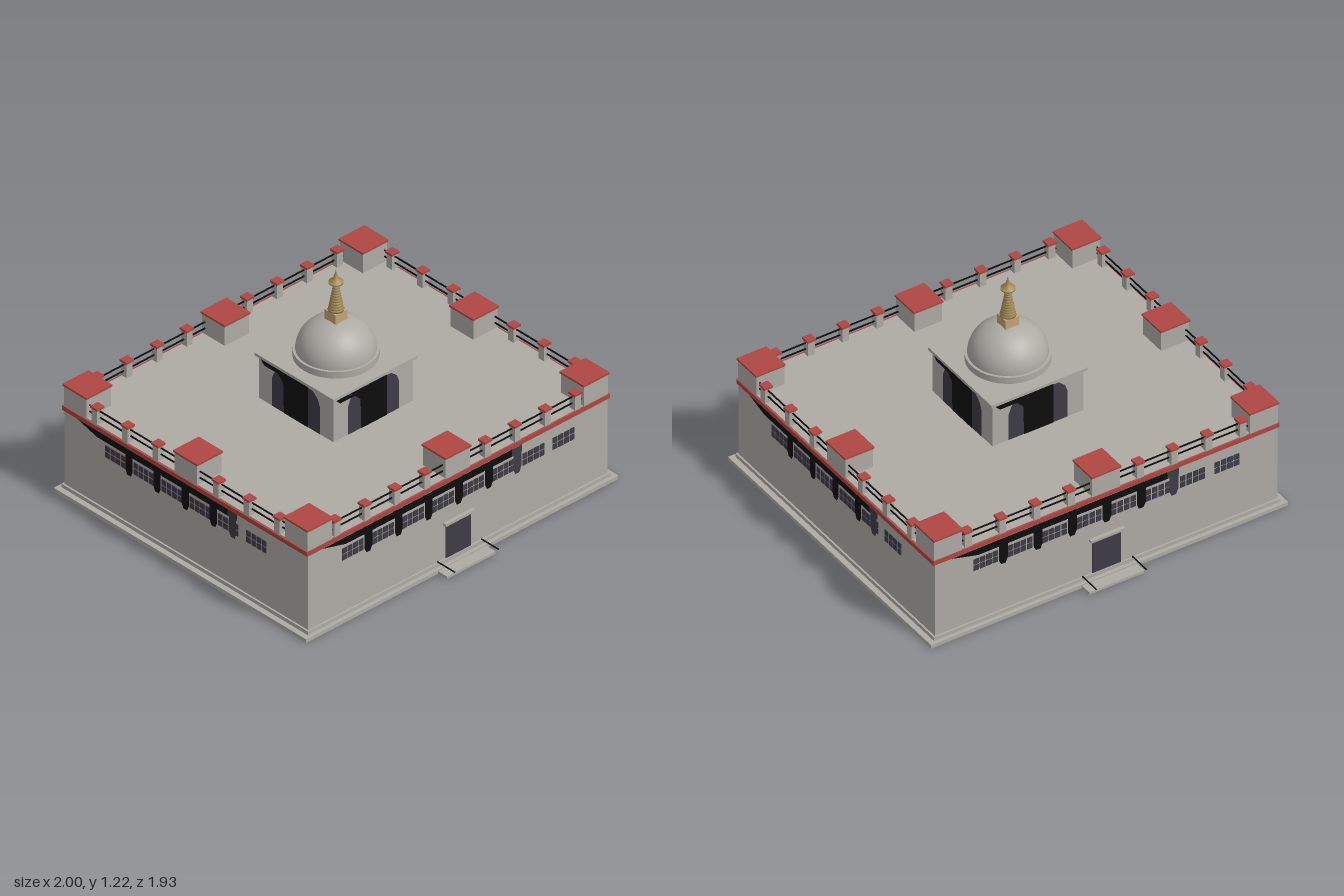
import * as THREE from 'three';

const mat = (name, color, extra = {}) => {
  const m = new THREE.MeshStandardMaterial({ color, ...extra });
  m.name = name;
  return m;
};

export function createModel() {
  const root = new THREE.Group();
  root.name = 'domedHall';
  const stone = mat('grey stone', 0xaeaba5);
  const red = mat('red trim', 0xae4642);
  const dark = mat('dark opening', 0x3d3b45);
  const black = mat('black recess', 0x0d0d0e);
  const tan = mat('tan stone', 0xc0a678);
  const gold = mat('gold', 0xa58d58);

  const add = (parent, name, geo, material) => {
    const mesh = new THREE.Mesh(geo, material);
    mesh.name = name;
    parent.add(mesh);
    return mesh;
  };
  // box given by its centre in x and z, bottom and top height, width and depth
  const box = (parent, name, m, x, z, y0, y1, w, d) => {
    const b = add(parent, name, new THREE.BoxGeometry(w, y1 - y0, d), m);
    b.position.set(x, (y0 + y1) / 2, z);
    return b;
  };
  // flat painted polygon facing local +z
  const plate = (parent, name, m, pts, z) => {
    const s = new THREE.Shape(pts.map(p => new THREE.Vector2(p[0], p[1])));
    const p = add(parent, name, new THREE.ShapeGeometry(s), m);
    p.position.z = z;
    return p;
  };
  const side = (name, turn) => {
    const g = new THREE.Group();
    g.name = name;
    g.rotation.y = turn * Math.PI / 2;
    root.add(g);
    return g;
  };

  // main block
  box(root, 'plinth', stone, 0, 0, 0, 0.02, 2, 1.73);
  box(root, 'plinthStep', stone, 0, 0, 0.02, 0.04, 1.94, 1.69);
  box(root, 'walls', stone, 0, 0, 0.04, 0.46, 1.92, 1.67);
  box(root, 'cornice', red, 0, 0, 0.46, 0.484, 1.94, 1.68);
  box(root, 'roof', stone, 0, 0, 0.47, 0.487, 1.92, 1.66);

  // wall decoration, repeated on four sides
  const walls = [
    { n: 'front', turn: 0, d: 0.835, count: 8, start: -0.87, end: 0.34, drops: [-0.58, -0.385, -0.193, 0, 0.193], last: 0.375 },
    { n: 'right', turn: 1, d: 0.96, count: 6, start: -0.755, end: 0.29, drops: [-0.385, -0.193, 0, 0.193], last: 0.325 },
  ];
  for (const w of walls) for (const flip of [0, 2]) {
    const g = side(w.n + (flip ? 'OppositeWall' : 'Wall'), w.turn + flip);
    // lattice windows, four by two panes each
    for (let i = 0; i < w.count; i++) {
      const cx = (i - (w.count - 1) / 2) * 0.193;
      for (let c = 0; c < 4; c++) for (let r = 0; r < 2; r++)
        box(g, 'windowPane', dark, cx + (c - 1.5) * 0.036, w.d + 0.001, 0.333 + r * 0.036, 0.363 + r * 0.036, 0.029, 0.006);
    }
    // dark frieze and drops under the cornice
    plate(g, 'frieze', black, [[w.start, 0.46], [w.start + 0.15, 0.42], [w.end, 0.42], [w.end, 0.46]], w.d + 0.006);
    const drop = (x, m) => plate(g, 'friezeDrop', m, [[x - 0.025, 0.425], [x - 0.025, 0.34], [x - 0.013, 0.312],
      [x + 0.013, 0.312], [x + 0.025, 0.34], [x + 0.025, 0.425]], w.d + 0.007);
    w.drops.forEach(x => drop(x, black));
    drop(w.last, dark);
    plate(g, 'friezeEnd', dark, [[w.end, 0.42], [w.end + 0.065, 0.42], [w.end + 0.065, 0.46], [w.end, 0.46]], w.d + 0.006);

    // entrance
    if (w.n === 'front') {
      box(g, 'door', dark, 0, w.d + 0.001, 0.04, 0.23, 0.16, 0.008);
      box(g, 'lintel', stone, 0, w.d + 0.005, 0.23, 0.244, 0.19, 0.03);
      box(g, 'entranceStep', stone, 0, 0.885, 0, 0.014, 0.31, 0.085);
      for (const s of [-1, 1]) box(g, 'stepRail', black, s * 0.14, 0.905, 0.048, 0.053, 0.005, 0.12);
    }
  }

  // parapet: large piers, small posts and two thin rails
  const pier = (x, z, size, top, cap, name) => {
    const g = new THREE.Group();
    g.name = name;
    root.add(g);
    box(g, 'shaft', stone, x, z, 0.484, top - cap, size - 0.01, size - 0.01);
    box(g, 'cap', red, x, z, top - cap, top, size, size);
  };
  for (const i of [-1, 0, 1]) for (const j of [-1, 0, 1])
    if (i || j) pier(i * 0.885, j * 0.757, 0.166, 0.606, 0.01, 'pier');
  for (const s of [-1, 1]) {
    for (const t of [-1, 1]) {
      for (const x of [0.193, 0.385, 0.578, 0.77]) pier(t * x, s * 0.815, 0.048, 0.577, 0.011, 'post');
      for (const z of [0.208, 0.416, 0.625]) pier(s * 0.945, t * z, 0.048, 0.577, 0.011, 'post');
    }
    for (const y of [0.52, 0.555]) {
      box(root, 'rail', black, 0, s * 0.815, y - 0.003, y + 0.003, 1.8, 0.006);
      box(root, 'rail', black, s * 0.945, 0, y - 0.003, y + 0.003, 0.006, 1.55);
    }
  }

  // pavilion with an arched opening on each side
  box(root, 'pavilion', stone, 0, 0, 0.484, 0.726, 0.51, 0.51);
  box(root, 'pavilionSlab', stone, 0, 0, 0.726, 0.742, 0.54, 0.54);
  for (let i = 0; i < 4; i++) {
    const g = side('pavilionSide', i);
    plate(g, 'archOpening', dark, [[-0.165, 0.488], [0.165, 0.488], [0.165, 0.64], [0.15, 0.68], [0.115, 0.71],
      [-0.115, 0.71], [-0.15, 0.68], [-0.165, 0.64]], 0.257);
    plate(g, 'archRecess', black, [[-0.08, 0.488], [0.085, 0.488], [0.085, 0.726], [-0.25, 0.726], [-0.215, 0.69],
      [-0.12, 0.69], [-0.085, 0.655]], 0.259);
  }

  // dome
  const drum = add(root, 'domeDrum', new THREE.CylinderGeometry(0.205, 0.205, 0.036, 40), stone);
  drum.position.y = 0.76;
  const dome = add(root, 'dome', new THREE.SphereGeometry(0.192, 40, 16, 0, Math.PI * 2, 0, Math.PI / 2), stone);
  dome.position.y = 0.775;
  dome.scale.y = 0.9;

  // spire
  box(root, 'spireBase', tan, 0, 0, 0.935, 0.995, 0.075, 0.075);
  const steps = 10, profile = [new THREE.Vector2(0, 0.995)];
  for (let i = 0; i < steps; i++) {
    const r = 0.039 - i * 0.0026, y = 0.995 + i * 0.0135;
    profile.push(new THREE.Vector2(r, y), new THREE.Vector2(r, y + 0.009), new THREE.Vector2(r - 0.005, y + 0.0135));
  }
  [[0.01, 1.14], [0.036, 1.147], [0.036, 1.155], [0.015, 1.165], [0.011, 1.185], [0.005, 1.2], [0, 1.222]]
    .forEach(p => profile.push(new THREE.Vector2(p[0], p[1])));
  add(root, 'spire', new THREE.LatheGeometry(profile, 20), gold);

  return root;
}
